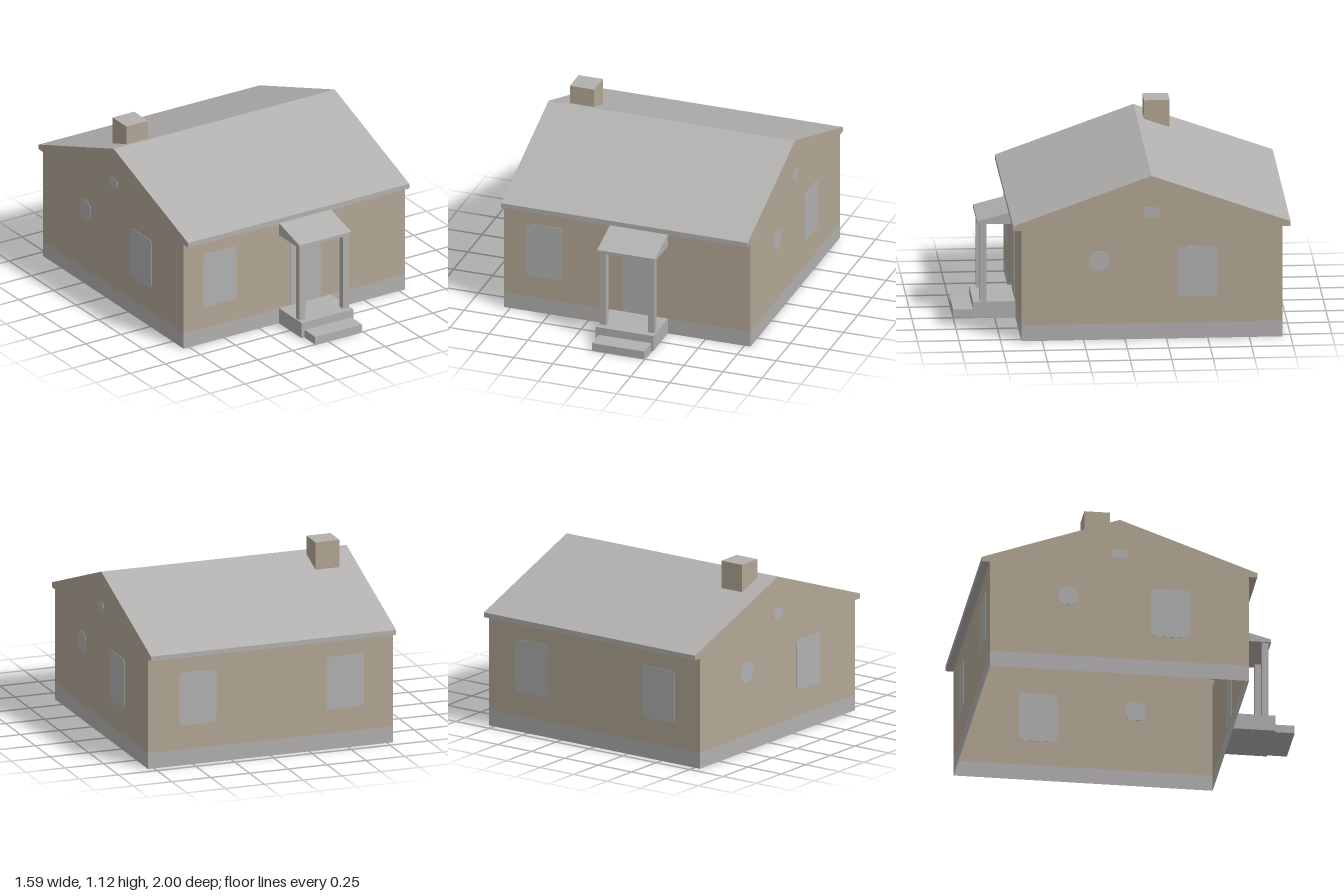
import * as THREE from 'three';

const mat = (name, color, side = THREE.FrontSide) => {
  const m = new THREE.MeshStandardMaterial({ color, side });
  m.name = name;
  return m;
};

const W = 0.79;                                   // half width of the house
const FRONT = 0.625, BACK = -0.95, RIDGE = -0.16; // wall and ridge z
const BASE = 0.1, EAVE = 0.69;

export function createModel() {
  const house = new THREE.Group();
  house.name = 'house';

  const wall = mat('wall tan', 0xb2a795, THREE.DoubleSide);
  const grey = mat('stone grey', 0xb2b0af, THREE.DoubleSide);
  const roofGrey = mat('roof grey', 0xb3b1af, THREE.DoubleSide);
  const glass = mat('window grey', 0xb2b1b1);

  const add = (name, geometry, material) => {
    const mesh = new THREE.Mesh(geometry, material);
    mesh.name = name;
    house.add(mesh);
    return mesh;
  };
  const box = (name, x0, x1, y0, y1, z0, z1, material) =>
    add(name, new THREE.BoxGeometry(x1 - x0, y1 - y0, z1 - z0), material)
      .position.set((x0 + x1) / 2, (y0 + y1) / 2, (z0 + z1) / 2);

  // Shape coordinates are (x, y) on front and back walls, (z, y) on the sides
  const place = (mesh, side, offset) => {
    if (side) {
      mesh.rotation.y = -Math.PI / 2;
      mesh.position.x = offset;
    } else mesh.position.z = offset;
  };
  const panel = (name, points, side, offset, material) => {
    const shape = new THREE.Shape(points.map(([u, v]) => new THREE.Vector2(u, v)));
    place(add(name, new THREE.ShapeGeometry(shape), material), side, offset);
  };
  const rect = (u0, u1, v0, v1) => [[u0, v0], [u1, v0], [u1, v1], [u0, v1]];

  // Thin rounded plate, centred in the wall so that it shows on both faces
  const opening = (name, u0, u1, v0, v1, r, side, offset) => {
    const s = new THREE.Shape();
    s.moveTo(u0 + r, v0);
    s.lineTo(u1 - r, v0);
    s.quadraticCurveTo(u1, v0, u1, v0 + r);
    s.lineTo(u1, v1 - r);
    s.quadraticCurveTo(u1, v1, u1 - r, v1);
    s.lineTo(u0 + r, v1);
    s.quadraticCurveTo(u0, v1, u0, v1 - r);
    s.lineTo(u0, v0 + r);
    s.quadraticCurveTo(u0, v0, u0 + r, v0);
    const g = new THREE.ExtrudeGeometry(s, { depth: 0.005, bevelEnabled: false, curveSegments: 5 });
    g.translate(0, 0, -0.0025);
    place(add(name, g, glass), side, offset);
  };

  // Surface swept along x over a (z, y) profile, one flat strip per segment
  const sweep = (name, profile, x0, x1, material) => {
    const p = [];
    for (let i = 0; i < profile.length - 1; i++) {
      const [az, ay] = profile[i], [bz, by] = profile[i + 1];
      p.push(x0, ay, az, x1, ay, az, x1, by, bz, x0, ay, az, x1, by, bz, x0, by, bz);
    }
    const g = new THREE.BufferGeometry();
    g.setAttribute('position', new THREE.Float32BufferAttribute(p, 3));
    g.computeVertexNormals();
    add(name, g, material);
  };

  // Front and back walls, with a pale plinth and a pale edge under the front eave
  panel('frontPlinth', rect(-W, W, 0, BASE), false, FRONT, grey);
  panel('backPlinth', rect(-W, W, 0, BASE), false, BACK, grey);
  const edge = [[W, 0.677], [0.26, 0.652], [-0.11, 0.655], [-W, 0.677]];
  panel('frontWall', [[-W, BASE], [W, BASE], ...edge], false, FRONT, wall);
  panel('frontEaveEdge', [...edge, [-W, EAVE], [W, EAVE]], false, FRONT, grey);
  panel('backWall', rect(-W, W, BASE, EAVE), false, BACK, wall);

  // Roof shell with boxed eaves
  const roof = [[FRONT, EAVE], [0.675, EAVE], [0.675, 0.72], [RIDGE, 1.02],
    [-1, 0.72], [-1, EAVE], [BACK, EAVE]];
  sweep('roof', roof, -W, W, roofGrey);

  // Gable ends, closed up to the roof outline
  for (const [label, x] of [['left', W], ['right', -W]]) {
    panel(label + 'Plinth', rect(BACK, FRONT, 0, BASE), true, x, grey);
    panel(label + 'Gable', [[FRONT, BASE], ...roof, [BACK, BASE]], true, x, wall);
    opening(label + 'Vent', -0.21, -0.11, 0.76, 0.825, 0.03, true, x);
  }

  // Windows and door
  opening('frontWindow', -0.65, -0.415, 0.24, 0.59, 0.03, false, FRONT);
  opening('frontDoor', -0.03, 0.185, BASE, 0.53, 0.03, false, FRONT);
  opening('backWindow', 0.35, 0.59, 0.25, 0.58, 0.03, false, BACK);
  opening('backWindow', -0.6, -0.36, 0.25, 0.58, 0.03, false, BACK);
  opening('leftWindow', -0.555, -0.32, 0.26, 0.575, 0.03, true, W);
  opening('leftSmallWindow', 0.095, 0.215, 0.435, 0.555, 0.045, true, W);
  opening('rightWindow', 0.03, 0.27, 0.26, 0.575, 0.03, true, -W);
  opening('rightSmallWindow', -0.535, -0.415, 0.435, 0.555, 0.045, true, -W);

  // Chimney, its foot following the back slope; the cap is grey
  const cz0 = -0.36, cz1 = -0.205, top = 1.12;
  const slope = z => 1.02 - (RIDGE - z) * (0.3 / 0.84);
  const cx0 = -0.67, cx1 = -0.515;
  const chimneySide = [[cz0, slope(cz0)], [cz1, slope(cz1)], [cz1, top], [cz0, top]];
  panel('chimneySide', chimneySide, true, cx0, wall);
  panel('chimneySide', chimneySide, true, cx1, wall);
  panel('chimneyFront', rect(cx0, cx1, slope(cz1), top), false, cz1, wall);
  panel('chimneyBack', rect(cx0, cx1, slope(cz0), top), false, cz0, wall);
  sweep('chimneyTop', [[cz1, top], [cz0, top]], cx0, cx1, roofGrey);

  // Porch: landing, step, two posts and a lean-to roof
  const px0 = -0.11, px1 = 0.26;
  box('porchLanding', px0, px1, 0, BASE, FRONT, 0.88, grey);
  box('porchStep', -0.09, 0.245, 0, 0.05, 0.88, 1, grey);
  for (const x of [-0.1, 0.21]) box('porchPost', x, x + 0.042, BASE, 0.585, 0.8, 0.84, grey);
  const lean = [[FRONT, 0.585], [0.855, 0.585], [0.855, 0.605], [FRONT, 0.665]];
  sweep('porchRoof', lean, px0, px1, roofGrey);
  for (const x of [px0, px1]) panel('porchRoofEnd', lean, true, x, grey);

  return house;
}
